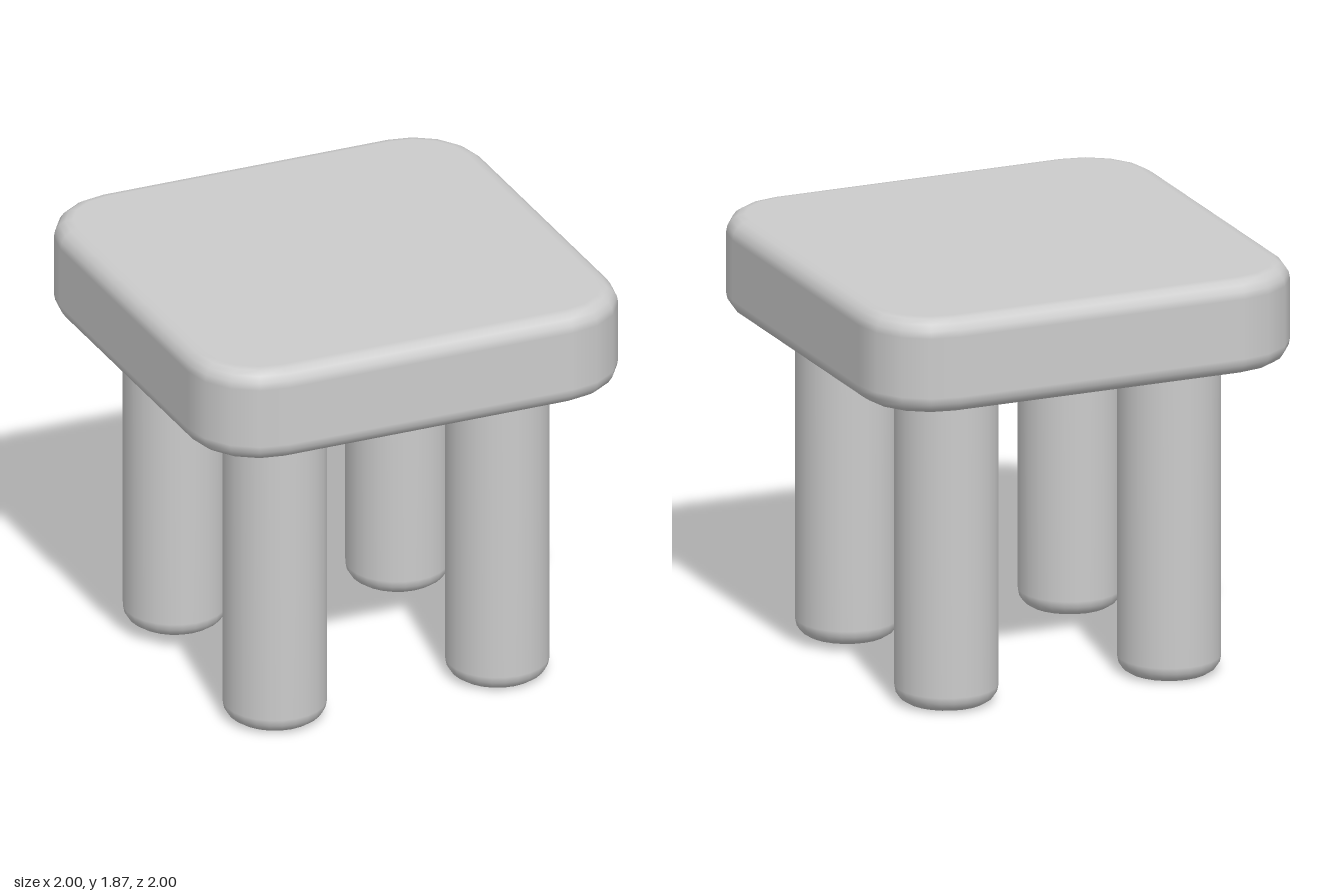
import * as THREE from 'three';

const material = new THREE.MeshStandardMaterial({ color: 0xcccccc });

// Square slab with rounded corners and softened top and bottom edges, smooth normals
function roundedSlab(half, cornerRadius, y0, y1, bevel, cornerSteps = 4, bevelSteps = 4) {
  const pos = [], nor = [], index = [];
  const core = half - cornerRadius;
  const n = 4 * (cornerSteps + 1);
  const rings = 2 * (bevelSteps + 1);

  for (let j = 0; j < rings; j++) {
    const upper = j > bevelSteps;
    const step = upper ? j - 1 : j;
    const tilt = -Math.PI / 2 + (step - (upper ? bevelSteps : 0)) * (Math.PI / 2) / bevelSteps
      + (upper ? Math.PI / 2 : 0);
    const r = cornerRadius - bevel + bevel * Math.cos(tilt);
    const y = (upper ? y1 - bevel : y0 + bevel) + bevel * Math.sin(tilt);
    for (let c = 0; c < 4; c++) {
      const mid = (c + 0.5) * Math.PI / 2;
      const cx = core * Math.sign(Math.cos(mid)), cz = core * Math.sign(Math.sin(mid));
      for (let s = 0; s <= cornerSteps; s++) {
        const a = (c + s / cornerSteps) * Math.PI / 2;
        pos.push(cx + r * Math.cos(a), y, cz + r * Math.sin(a));
        nor.push(Math.cos(tilt) * Math.cos(a), Math.sin(tilt), Math.cos(tilt) * Math.sin(a));
      }
    }
  }
  // Centre points for the flat faces
  const bottom = rings * n, top = bottom + 1;
  pos.push(0, y0, 0, 0, y1, 0);
  nor.push(0, -1, 0, 0, 1, 0);

  for (let i = 0; i < n; i++) {
    const k = (i + 1) % n;
    for (let j = 0; j < rings - 1; j++) {
      const a = j * n + i, b = j * n + k;
      index.push(a, a + n, b, b, a + n, b + n);
    }
    index.push(bottom, i, k, top, (rings - 1) * n + k, (rings - 1) * n + i);
  }
  const g = new THREE.BufferGeometry();
  g.setAttribute('position', new THREE.Float32BufferAttribute(pos, 3));
  g.setAttribute('normal', new THREE.Float32BufferAttribute(nor, 3));
  g.setIndex(index);
  return g;
}

// Round leg with a softened foot
function legGeometry(radius, height, bevel) {
  const points = [new THREE.Vector2(0, 0), new THREE.Vector2(radius - bevel - 0.005, 0)];
  for (let i = 0; i <= 4; i++) {
    const a = (i / 4) * Math.PI / 2;
    points.push(new THREE.Vector2(radius - bevel + bevel * Math.sin(a), bevel - bevel * Math.cos(a)));
  }
  points.push(new THREE.Vector2(radius, height));
  return new THREE.LatheGeometry(points, 24);
}

export function createModel() {
  const model = new THREE.Group();
  model.name = 'stool';

  // Seat
  const seat = new THREE.Mesh(roundedSlab(1, 0.33, 1.44, 1.87, 0.08), material);
  seat.name = 'seat';
  model.add(seat);

  // Four legs
  const leg = legGeometry(0.226, 1.46, 0.075);
  for (const [x, xName] of [[1, 'Left'], [-1, 'Right']]) {
    for (const [z, zName] of [[1, 'front'], [-1, 'back']]) {
      const mesh = new THREE.Mesh(leg, material);
      mesh.name = `${zName}${xName}Leg`;
      mesh.position.set(0.525 * x, 0, 0.525 * z);
      model.add(mesh);
    }
  }
  return model;
}
